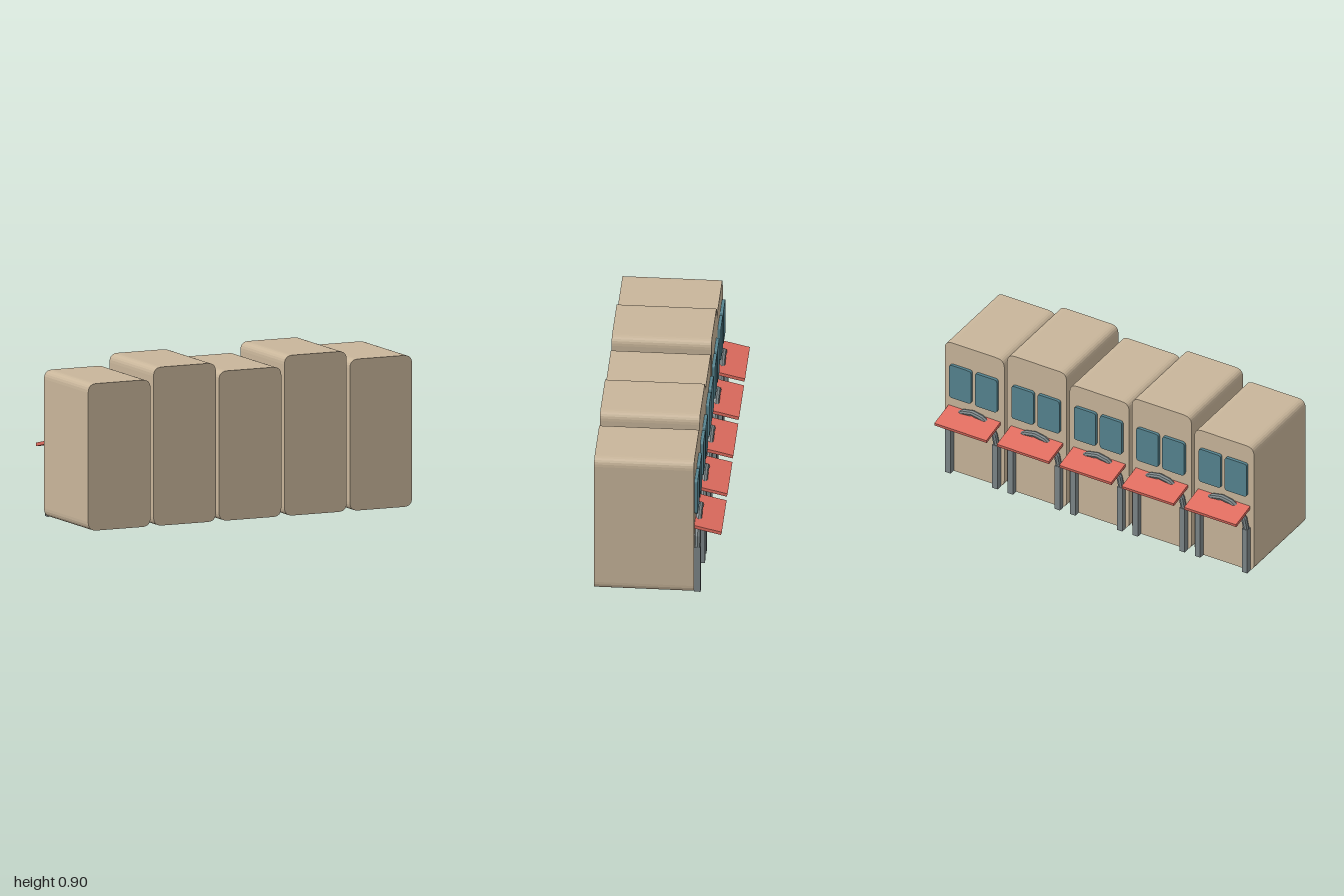
import * as THREE from 'three';

const mat = (color) => new THREE.MeshStandardMaterial({ color, flatShading: true });
const wallMat = mat(0xc8b59a), glassMat = mat(0x55838f), awningMat = mat(0xe06c5f), archMat = mat(0x7c8688);

const BACK = -0.202, FRONT = 0.353;

// Rounded rectangle standing on y = 0, extruded along +z
function roundedSlab(w, h, r, depth) {
  const s = new THREE.Shape(), a = w / 2;
  s.moveTo(-a + r, 0);
  s.lineTo(a - r, 0);
  s.quadraticCurveTo(a, 0, a, r);
  s.lineTo(a, h - r);
  s.quadraticCurveTo(a, h, a - r, h);
  s.lineTo(-a + r, h);
  s.quadraticCurveTo(-a, h, -a, h - r);
  s.lineTo(-a, r);
  s.quadraticCurveTo(-a, 0, -a + r, 0);
  return new THREE.ExtrudeGeometry(s, { depth, bevelEnabled: false, curveSegments: 6 });
}

function add(parent, name, geometry, material, x, y, z) {
  const mesh = new THREE.Mesh(geometry, material);
  mesh.name = name;
  mesh.position.set(x, y, z);
  parent.add(mesh);
  return mesh;
}

export function createModel() {
  const model = new THREE.Group();
  model.name = 'arcadeRow';

  const windowGeo = roundedSlab(0.142, 0.217, 0.018, 0.018);
  const postGeo = new THREE.BoxGeometry(0.035, 0.288, 0.035);
  const archGeo = new THREE.TorusGeometry(0.152, 0.0175, 8, 8, Math.PI);
  const awningGeo = new THREE.BoxGeometry(0.336, 0.019, 0.16);

  [0.825, 0.89, 0.84, 0.9, 0.85].forEach((height, i) => {
    const house = new THREE.Group();
    house.name = 'house' + (i + 1);
    house.position.x = (i - 2) * 0.4038;
    model.add(house);

    add(house, 'body', roundedSlab(0.385, height, 0.05, FRONT - BACK), wallMat, 0, 0, BACK);

    // Paired windows and arch posts on the rear wall
    for (const [side, label] of [[-1, 'right'], [1, 'left']]) {
      add(house, label + 'Window', windowGeo, glassMat, side * 0.084, 0.495, BACK - 0.018);
      add(house, label + 'Post', postGeo, archMat, side * 0.152, 0.144, BACK - 0.0175);
    }
    add(house, 'arch', archGeo, archMat, 0, 0.288, BACK - 0.0175);

    // Awning sloping down away from the wall
    const awning = add(house, 'awning', awningGeo, awningMat, 0, 0.403, -0.275);
    awning.rotation.x = -0.232;
  });

  return model;
}
